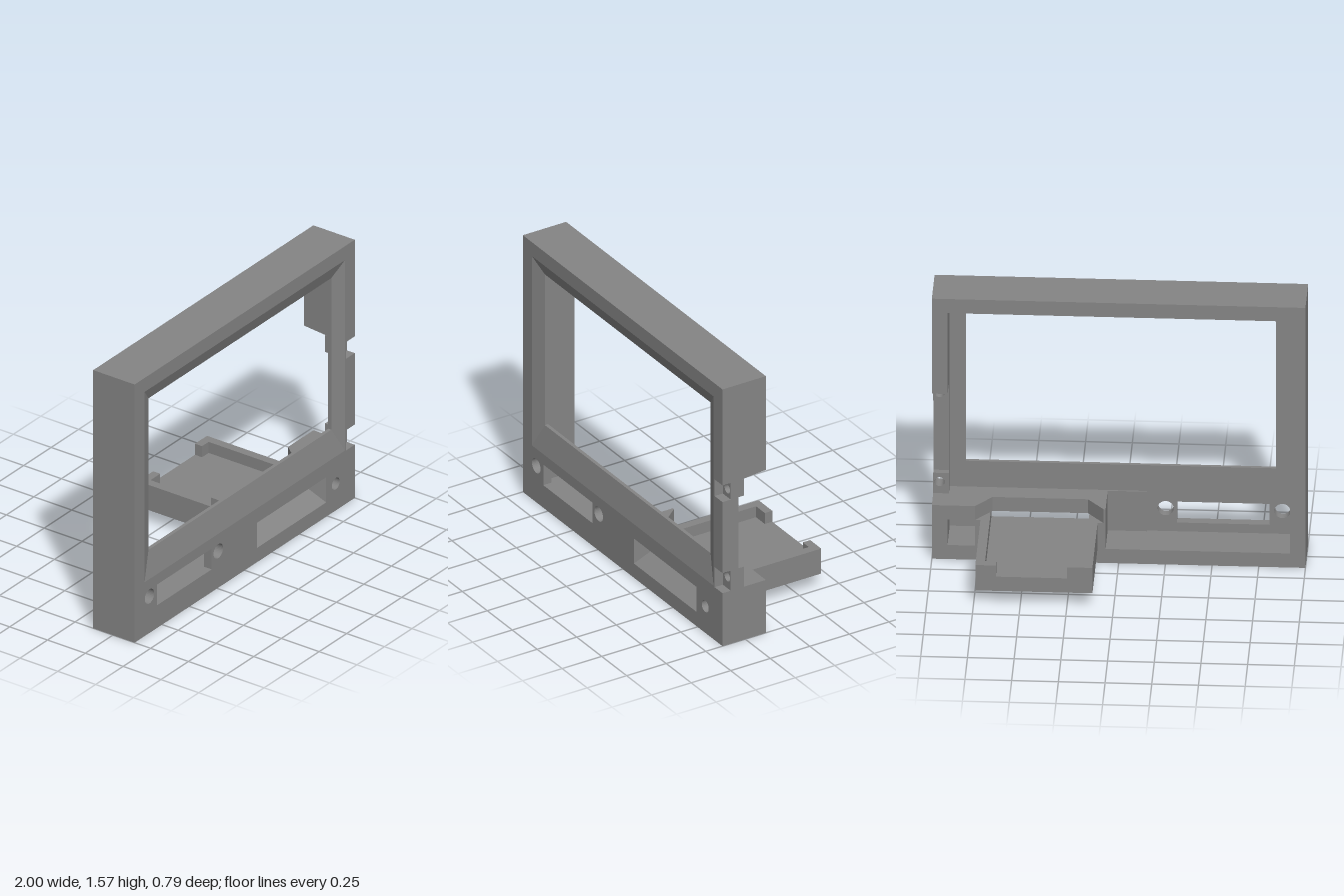
import * as THREE from 'three';

export function createModel() {
  const group = new THREE.Group();
  const mat = new THREE.MeshStandardMaterial({ color: 0x858585, flatShading: true });
  const thin = new THREE.MeshStandardMaterial({ color: 0x858585, flatShading: true, side: THREE.DoubleSide });

  const add = (name, geo, material = mat) => {
    const mesh = new THREE.Mesh(geo, material);
    mesh.name = name;
    group.add(mesh);
  };
  const poly = (pts) => new THREE.Shape(pts.map(([x, y]) => new THREE.Vector2(x, y)));
  const rect = (x0, x1, y0, y1) => poly([[x0, y0], [x1, y0], [x1, y1], [x0, y1]]);
  const circle = (x, y, r) => new THREE.Path().absarc(x, y, r, 0, Math.PI * 2, true);
  // Extrude an outline between two depths
  const slab = (name, shape, holes, z0, z1) => {
    shape.holes.push(...holes);
    const geo = new THREE.ExtrudeGeometry(shape, { depth: z1 - z0, bevelEnabled: false, curveSegments: 16 });
    add(name, geo.translate(0, 0, z0));
  };
  const box = (name, x0, x1, y0, y1, z0, z1) =>
    add(name, new THREE.BoxGeometry(x1 - x0, y1 - y0, z1 - z0)
      .translate((x0 + x1) / 2, (y0 + y1) / 2, (z0 + z1) / 2));
  // Four sloping faces joining a front rectangle to a rear rectangle
  const funnel = (name, a, b, za, zb) => {
    const corners = ([x0, x1, y0, y1], z) => [[x0, y0, z], [x1, y0, z], [x1, y1, z], [x0, y1, z]];
    const A = corners(a, za), B = corners(b, zb), pos = [];
    for (let i = 0; i < 4; i++) {
      const j = (i + 1) % 4;
      pos.push(...A[i], ...A[j], ...B[j], ...A[i], ...B[j], ...B[i]);
    }
    const geo = new THREE.BufferGeometry();
    geo.setAttribute('position', new THREE.Float32BufferAttribute(pos, 3));
    geo.computeVertexNormals();
    add(name, geo, thin);
  };

  const back = 0.12, inner = 0.342, front = 0.394, top = 1.572, wall = 0.916;
  const bevel = [-0.91, 0.91, 0.328, 1.487], win = [-0.83, 0.83, 0.48, 1.403];
  const slot = [0.113, 0.74, 0.087, 0.24], throat = [0.162, 0.69, 0.173, 0.24];

  // Front plate with screw pockets cut into its edge
  slab('frontPlate', poly([
    [-1, 0], [1, 0], [1, 0.324], [0.921, 0.324], [0.921, 0.447], [1, 0.447],
    [1, 0.882], [0.921, 0.882], [0.921, 0.984], [1, 0.984], [1, top], [-1, top],
  ]), [
    rect(...bevel), rect(...slot), rect(-0.795, -0.3, 0.138, 0.264),
    circle(-0.865, 0.223, 0.043), circle(-0.24, 0.223, 0.043), circle(0.827, 0.163, 0.035),
  ], inner, front);

  // Window surround
  funnel('windowBevel', bevel, win, front, 0.362);
  slab('windowLip', rect(...bevel), [rect(...win)], inner, 0.362);

  // Outer wall, open along part of the left side
  slab('outerWall', poly([
    [-1, 0], [1, 0], [1, 0.324], [wall, 0.324], [wall, 0.085], [-wall, 0.085],
    [-wall, 1.487], [wall, 1.487], [wall, 0.998], [1, 0.998], [1, top], [-1, top],
  ]), [], back, inner);

  // Slightly sloping upper edge of the side opening
  add('openingSlope', new THREE.ExtrudeGeometry(
    poly([[-inner, 0.984], [-0.285, 0.984], [-back, 0.998], [-inner, 0.998]]),
    { depth: 1 - wall, bevelEnabled: false },
  ).rotateY(Math.PI / 2).translate(wall, 0, 0));

  // Low ridge and screw bosses in the side opening
  box('sideRidge', wall, 1, 0.447, 0.882, 0.293, inner);
  for (const [y0, y1, hole] of [[0.324, 0.447, 0.394], [0.882, 0.984, 0.932]])
    slab('screwBoss', rect(wall, 1, y0, y1), [circle(0.966, hole, 0.027)], 0.258, inner);

  // Housing around the tray: notched roof and two side walls
  const roof = poly([
    [0.92, -inner], [0.92, -back], [0.77, -back], [0.68, -0.23], [0.17, -0.23],
    [0.08, -back], [0.07, -back], [0.07, -inner],
  ]);
  add('housingRoof', new THREE.ExtrudeGeometry(roof, { depth: 0.084, bevelEnabled: false })
    .rotateX(-Math.PI / 2).translate(0, 0.24, 0));
  box('housingWall', 0.07, 0.113, 0.085, 0.24, back, inner);
  box('housingWall', 0.74, 0.77, 0.085, 0.24, back, inner);
  box('backingPad', -0.14, 0.07, 0.085, 0.324, 0.333, inner);

  // Slot funnel and the tray behind it
  const trayFront = 0.295, trayBack = -0.394;
  funnel('slotFunnel', slot, throat, front, trayFront);
  box('trayFloor', 0.113, 0.74, 0.087, 0.173, trayBack, trayFront);
  box('trayWall', 0.113, 0.162, 0.173, 0.24, trayBack, trayFront);
  box('trayWall', 0.69, 0.74, 0.173, 0.24, trayBack, trayFront);
  box('trayStop', 0.162, 0.25, 0.173, 0.24, trayBack, -0.347);
  box('trayStop', 0.63, 0.69, 0.173, 0.24, trayBack, -0.347);

  return group;
}
